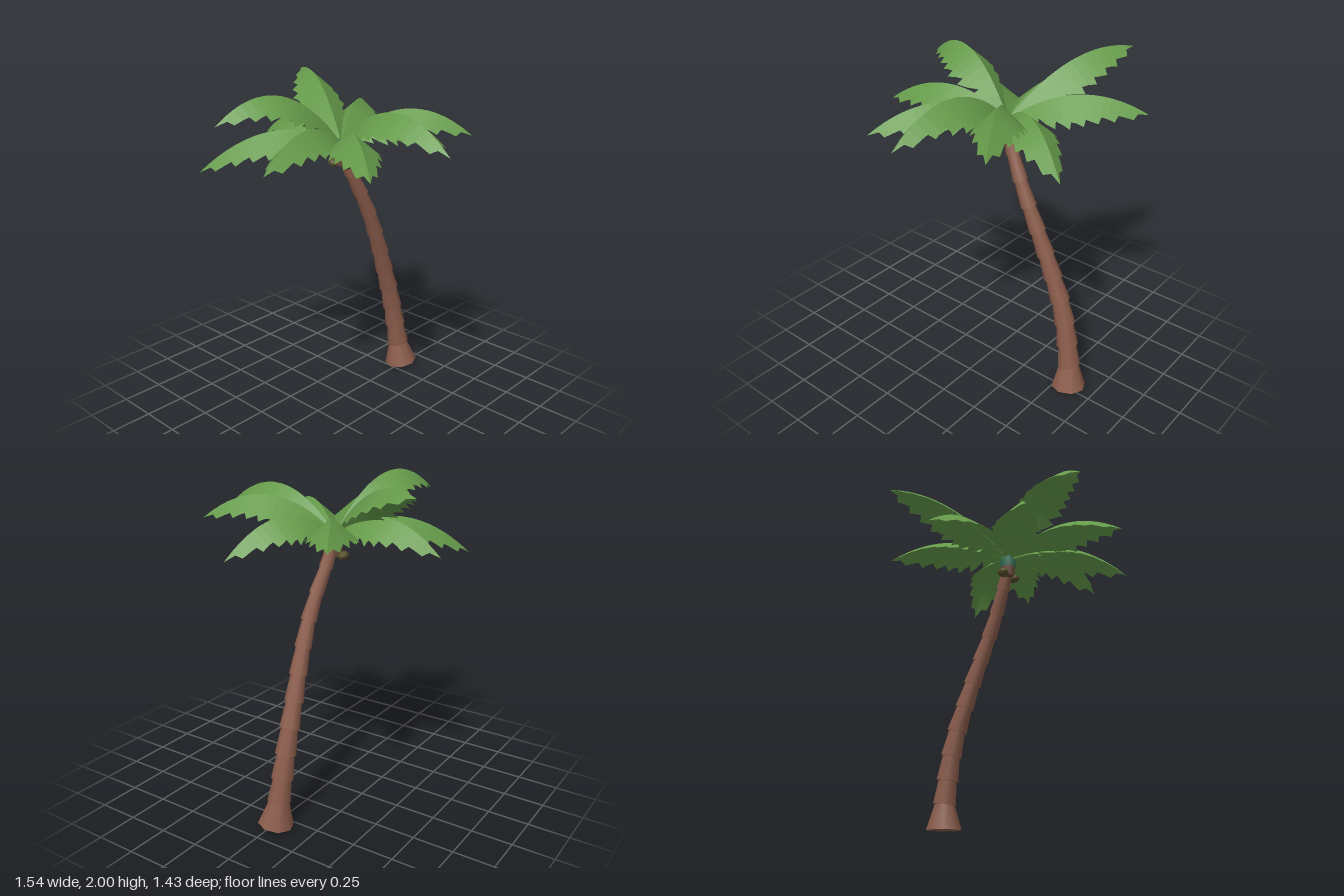
import * as THREE from 'three';

const mat = (color, extra = {}) => new THREE.MeshStandardMaterial({ color, roughness: 0.9, ...extra });
const UP = new THREE.Vector3(0, 1, 0);
const CROWN = new THREE.Vector3(-0.07, 1.66, -0.045);

function add(parent, name, geometry, material) {
  const mesh = new THREE.Mesh(geometry, material);
  mesh.name = name;
  parent.add(mesh);
  return mesh;
}

// Leaning trunk: a stack of tapered collars, each wider at its foot
function makeTrunk() {
  const trunk = new THREE.Group();
  trunk.name = 'trunk';
  const bark = mat(0x8a5c4b);
  const joints = [
    [-0.015, 0.015, -0.59], [-0.032, 0.165, -0.575], [-0.04, 0.305, -0.55], [-0.045, 0.45, -0.52],
    [-0.045, 0.6, -0.478], [-0.04, 0.745, -0.425], [-0.032, 0.89, -0.37], [-0.025, 1.035, -0.31],
    [-0.02, 1.18, -0.245], [-0.027, 1.325, -0.175], [-0.045, 1.465, -0.105], [-0.06, 1.59, -0.055],
  ].map((p) => new THREE.Vector3(...p));
  for (let i = 0; i < joints.length - 1; i++) {
    const dir = joints[i + 1].clone().sub(joints[i]);
    const length = dir.length() + (i < joints.length - 2 ? 0.015 : 0);
    dir.normalize();
    const foot = i === 0 ? 0.107 : 0.073 - 0.0031 * i;
    const top = i === 0 ? 0.056 : foot * 0.76;
    const collar = add(trunk, 'trunkCollar', new THREE.CylinderGeometry(top, foot, length, 8), bark);
    collar.quaternion.setFromUnitVectors(UP, dir);
    collar.position.copy(joints[i]).addScaledVector(dir, length / 2);
  }
  return trunk;
}

// Half-width of a frond along its length, before the teeth are cut
const WIDTH = [[0, 0.012], [0.1, 0.055], [0.25, 0.125], [0.42, 0.15], [0.6, 0.135], [0.8, 0.09], [0.92, 0.045], [1, 0]];
function widthAt(t) {
  const i = Math.max(1, WIDTH.findIndex(([s]) => s >= t));
  const [a, wa] = WIDTH[i - 1], [b, wb] = WIDTH[i];
  return wa + ((wb - wa) * (t - a)) / (b - a);
}

// Frond: a folded blade on a parabolic spine, saw-toothed towards the tip
function frondGeometry(tip, peak) {
  const reach = new THREE.Vector3(tip.x - CROWN.x, 0, tip.z - CROWN.z);
  const run = reach.length();
  reach.normalize();
  const side = new THREE.Vector3().crossVectors(UP, reach);
  const ratio = Math.sqrt((peak - CROWN.y) / (peak - tip.y));
  const top = ratio / (1 + ratio);
  const curve = (peak - CROWN.y) / (top * top);

  const rows = [[0, 0.012]];
  const teeth = 7;
  for (let k = 1; k <= teeth; k++) {
    const t = 0.06 + (0.86 * k) / teeth;
    const w = widthAt(t);
    const mid = t - 0.43 / teeth;
    rows.push([mid, widthAt(mid) * 0.94], [t, w + 0.012], [t + 0.012, w - 0.022]);
  }
  rows.push([1, 0]);

  const positions = [], index = [];
  rows.forEach(([t, w], i) => {
    const spine = CROWN.clone().addScaledVector(reach, run * t);
    spine.y = peak - curve * (t - top) ** 2;
    const slope = (-2 * curve * (t - top)) / run;
    const down = reach.clone().multiplyScalar(slope).sub(UP).normalize();
    for (const s of [1, 0, -1]) {
      const p = spine.clone().addScaledVector(side, s * w).addScaledVector(down, Math.abs(s) * w * 0.85);
      positions.push(p.x, p.y, p.z);
    }
    if (i === 0) return;
    const a = 3 * (i - 1), b = 3 * i;
    for (const k of [0, 1]) index.push(a + k, a + k + 1, b + k, a + k + 1, b + k + 1, b + k);
  });
  // Wind the faces so that they look upwards
  for (let i = 0; i < index.length; i += 3) [index[i + 1], index[i + 2]] = [index[i + 2], index[i + 1]];
  const geometry = new THREE.BufferGeometry();
  geometry.setAttribute('position', new THREE.Float32BufferAttribute(positions, 3));
  geometry.setIndex(index);
  geometry.computeVertexNormals();
  return geometry;
}

export function createModel() {
  const palm = new THREE.Group();
  palm.name = 'palmTree';
  palm.add(makeTrunk());

  // Bud that holds the fronds: brown stem and green cap
  const stem = add(palm, 'crownStem', new THREE.CylinderGeometry(0.05, 0.04, 0.08, 8), mat(0x6e4f3c));
  stem.position.set(CROWN.x, 1.57, CROWN.z);
  const capProfile = [[0.049, 1.59], [0.051, 1.64], [0.035, 1.675], [0, 1.685]].map((p) => new THREE.Vector2(...p));
  const cap = add(palm, 'crownCap', new THREE.LatheGeometry(capProfile, 8), mat(0x2a6650, { side: THREE.DoubleSide }));
  cap.position.set(CROWN.x, 0, CROWN.z);

  // Coconuts hanging either side of the bud
  const shell = mat(0x57502c, { flatShading: true });
  for (const s of [-1, 1]) {
    const nut = add(palm, 'coconut', new THREE.IcosahedronGeometry(0.032, 1), shell);
    nut.position.set(CROWN.x + s * 0.052, 1.535, CROWN.z + 0.008);
    nut.scale.set(1, 0.8, 1.15);
    nut.rotation.z = s * 0.4;
  }

  // Fronds: tip x, y, z and the height of the arch
  const leaf = mat(0x659a4a, { side: THREE.DoubleSide, flatShading: true });
  const fronds = [
    [-0.47, 1.73, -0.72, 1.83], [-0.775, 1.98, -0.41, 2.0], [-0.75, 1.61, -0.06, 1.79],
    [-0.625, 1.5, 0.575, 1.745], [-0.29, 1.84, 0.705, 1.98], [0.1, 1.645, 0.715, 1.805],
    [0.575, 1.645, 0.43, 1.8], [0.77, 1.73, 0.035, 1.905], [0.585, 1.74, -0.425, 1.88],
    [0.255, 1.57, -0.64, 1.79],
  ];
  for (const [x, y, z, peak] of fronds) add(palm, 'frond', frondGeometry(new THREE.Vector3(x, y, z), peak), leaf);
  return palm;
}
